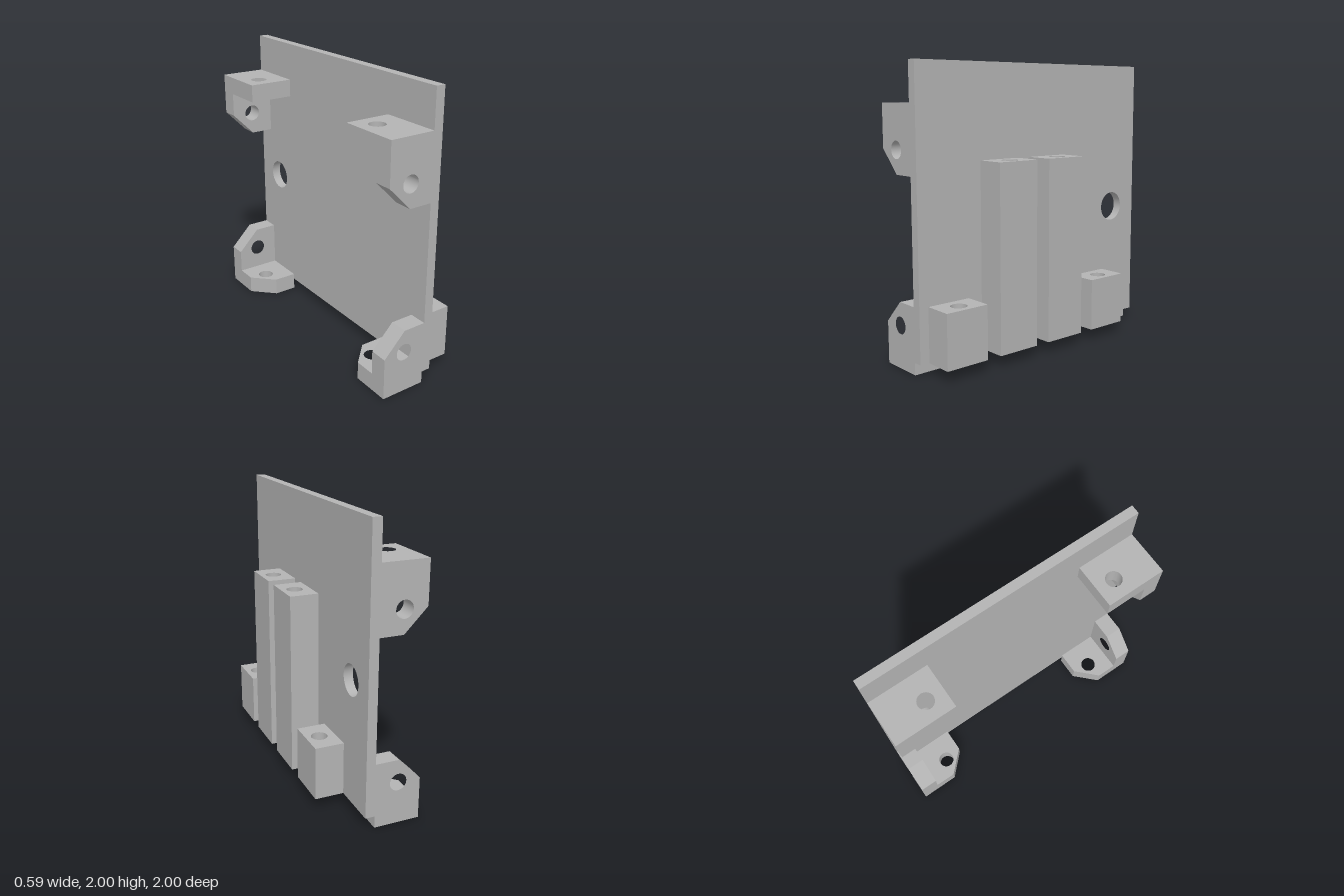
import * as THREE from 'three';
import { toCreasedNormals } from 'three/addons/utils/BufferGeometryUtils.js';

const grey = new THREE.MeshStandardMaterial({ color: 0xb3b3b3 });
grey.name = 'grey';

// Extruded outline with one round hole [u, v, radius]
function drilled(points, hole, depth) {
  const shape = new THREE.Shape(points.map(([u, v]) => new THREE.Vector2(u, v)));
  const path = new THREE.Path();
  path.absarc(hole[0], hole[1], hole[2], 0, Math.PI * 2, true);
  shape.holes.push(path);
  const geo = new THREE.ExtrudeGeometry(shape, { depth, bevelEnabled: false, curveSegments: 20 });
  return toCreasedNormals(geo, 0.6);
}

// Lay an (x, z) extrusion flat with its top at the given height
const layFlat = (geo, top) => geo.rotateX(Math.PI / 2).translate(0, top, 0);

const rect = (u0, v0, u1, v1) => [[u0, v0], [u1, v0], [u1, v1], [u0, v1]];

function mesh(name, geo) {
  const m = new THREE.Mesh(geo, grey);
  m.name = name;
  return m;
}

const OUT = -0.295, BACK = 0.025, FACE = 0.09, BASE = 0.083, T = 0.125;

// Corner bracket: upright cheek at the plate end plus a level flange
function bracket(side, upper) {
  const g = new THREE.Group();
  g.name = (upper ? 'upper' : 'lower') + (side > 0 ? 'Front' : 'Rear') + 'Bracket';
  const y = (v) => (upper ? 1.737 - v : v);
  const cheek = drilled(
    [[BACK, 0], [OUT, 0], [OUT, 0.293], [-0.137, 0.453], [BACK, 0.453]].map(([u, v]) => [u, y(v)]),
    [-0.137, y(0.295), 0.059], T);
  cheek.translate(0, 0, side > 0 ? 1 - T : -1);
  g.add(mesh('cheek', cheek));

  const inner = 0.575, c = 0.15;
  const outline = upper
    ? rect(OUT, inner, BACK, 1 - T)
    : [[BACK, inner], [OUT + c, inner], [OUT, inner + c], [OUT, 1 - T], [BACK, 1 - T]];
  const flange = drilled(outline.map(([u, v]) => [u, v * side]), [-0.163, 0.707 * side, 0.056], T);
  g.add(mesh('flange', layFlat(flange, upper ? 1.737 : T)));
  return g;
}

// Square post with a blind hole in its top
function post(z, top) {
  const g = new THREE.Group();
  g.name = 'post';
  const x0 = FACE, x1 = 0.292, h = 0.159, bore = 0.25;
  const solid = new THREE.BoxGeometry(x1 - x0, top - bore - BASE, h * 2);
  solid.translate((x0 + x1) / 2, (top - bore + BASE) / 2, z);
  g.add(mesh('postBody', solid));
  const head = drilled(rect(x0, z - h, x1, z + h), [0.198, z, 0.056], bore);
  g.add(mesh('postHead', layFlat(head, top)));
  return g;
}

export function createModel() {
  const model = new THREE.Group();
  model.name = 'mountingPlate';

  // Upright plate, outline drawn in (-z, y) and turned to face +x
  const plate = drilled(rect(-1, BASE, 1, 2), [0.757, 0.938, 0.107], FACE - BACK);
  plate.rotateY(Math.PI / 2).translate(BACK, 0, 0);
  model.add(mesh('plate', plate));

  for (const side of [1, -1]) {
    for (const upper of [false, true]) model.add(bracket(side, upper));
  }
  for (const [z, top] of [[0.773, 0.455], [0.346, 1.362], [-0.08, 1.362], [-0.507, 0.455]]) {
    model.add(post(z, top));
  }
  return model;
}
